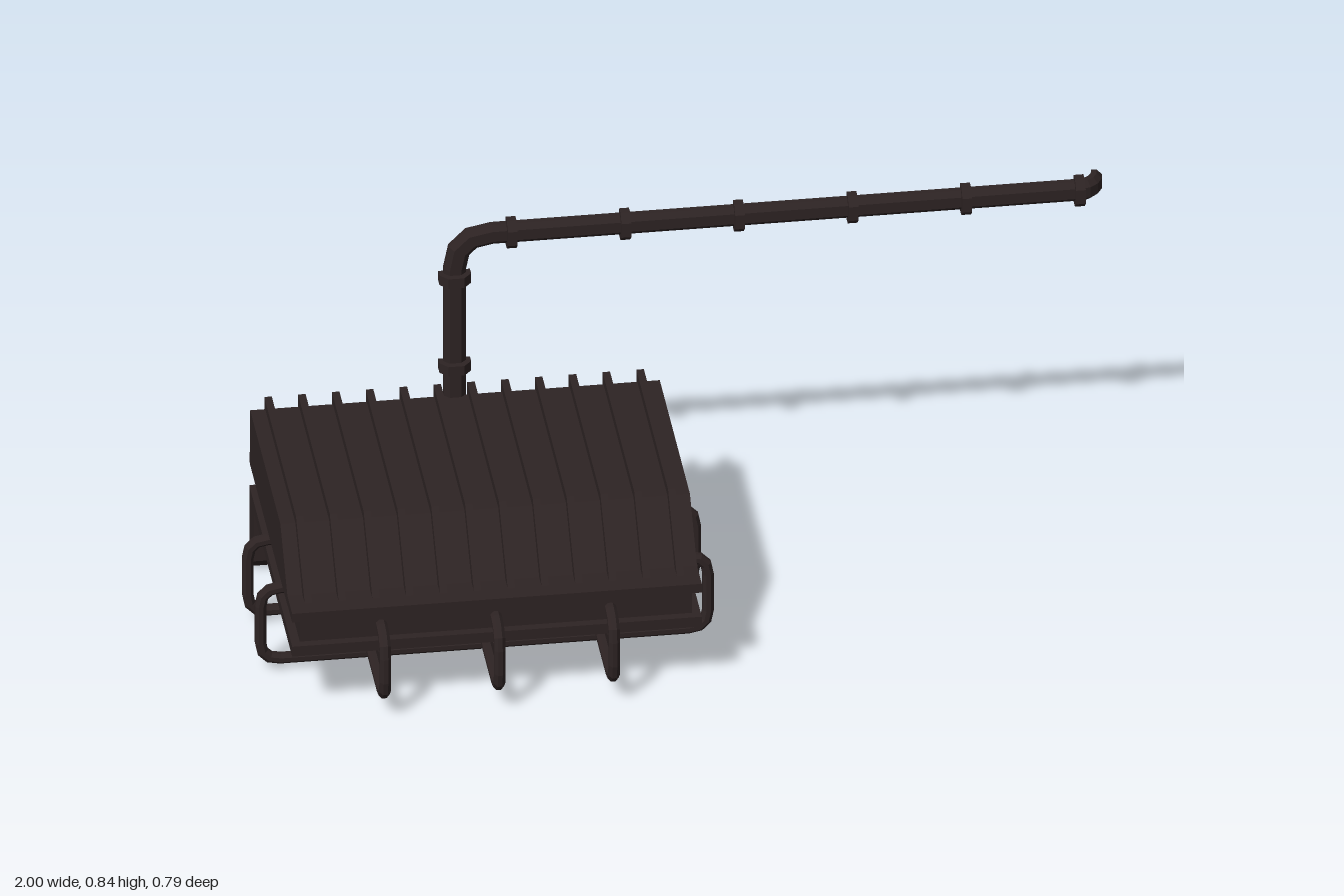
import * as THREE from 'three';

const CX = -0.48;      // centre of the lamp body in x
const WALL = -0.36;    // plane of the flat back

const V = (x, y, z) => new THREE.Vector3(x, y, z);

// Polyline with its inner corners rounded in three short steps
function roundedPath(points, r) {
  const out = [points[0]];
  for (let i = 1; i < points.length - 1; i++) {
    const p = points[i];
    const a = p.clone().add(points[i - 1].clone().sub(p).setLength(r));
    const b = p.clone().add(points[i + 1].clone().sub(p).setLength(r));
    out.push(...new THREE.QuadraticBezierCurve3(a, p, b).getPoints(3));
  }
  out.push(points[points.length - 1]);
  return out;
}

// Sweep a section [along normal, sideways] along a flat path, with mitred joints and end caps
function sweep(path, normal, section) {
  const n = section.length, last = path.length - 1, pos = [], index = [];
  path.forEach((p, i) => {
    const t0 = path[i].clone().sub(path[Math.max(i - 1, 0)]).normalize();
    const t1 = path[Math.min(i + 1, last)].clone().sub(p).normalize();
    const t = t0.clone().add(t1).normalize();
    const mitre = 1 / t.dot(i < last ? t1 : t0);
    const side = normal.clone().cross(t).multiplyScalar(mitre);
    for (const [a, b] of section) {
      const q = p.clone().addScaledVector(normal, a).addScaledVector(side, b);
      pos.push(q.x, q.y, q.z);
    }
  });
  for (let i = 0; i < last; i++) {
    for (let j = 0; j < n; j++) {
      const a = i * n + j, b = i * n + (j + 1) % n;
      index.push(a, a + n, b, b, a + n, b + n);
    }
  }
  for (let j = 1; j < n - 1; j++) {
    index.push(0, j, j + 1, last * n, last * n + j + 1, last * n + j);
  }
  const g = new THREE.BufferGeometry();
  g.setAttribute('position', new THREE.Float32BufferAttribute(pos, 3));
  g.setIndex(index);
  const flat = g.toNonIndexed();
  flat.computeVertexNormals();
  return flat;
}

// Extrude a (z, y) profile across x
function slab(profile, width, x = CX) {
  const shape = new THREE.Shape(profile.map(([z, y]) => new THREE.Vector2(z, y)));
  const g = new THREE.ExtrudeGeometry(shape, { depth: width, bevelEnabled: false });
  return g.rotateY(-Math.PI / 2).translate(x + width / 2, 0, 0);
}

function boxBetween(x0, x1, y0, y1, z0, z1) {
  return new THREE.BoxGeometry(x1 - x0, y1 - y0, z1 - z0)
    .translate((x0 + x1) / 2, (y0 + y1) / 2, (z0 + z1) / 2);
}

function roundedRect(w, h, r) {
  const s = new THREE.Shape(), x = w / 2, y = h / 2;
  s.absarc(x - r, y - r, r, 0, Math.PI / 2);
  s.absarc(r - x, y - r, r, Math.PI / 2, Math.PI);
  s.absarc(r - x, r - y, r, Math.PI, Math.PI * 1.5);
  s.absarc(x - r, r - y, r, Math.PI * 1.5, Math.PI * 2);
  return s;
}

export function createModel() {
  const model = new THREE.Group();
  model.name = 'wallFloodlight';
  const metal = new THREE.MeshStandardMaterial({ color: 0x2d2323, flatShading: true });
  metal.name = 'darkBrownMetal';
  const add = (name, geometry, parent = model) => {
    const mesh = new THREE.Mesh(geometry, metal);
    mesh.name = name;
    parent.add(mesh);
    return mesh;
  };
  const group = (name) => {
    const g = new THREE.Group();
    g.name = name;
    model.add(g);
    return g;
  };

  // Housing: sloped hood, rims and the recessed band between them
  add('hood', slab([[0.26, 0.245], [0.26, 0.27], [0.145, 0.39], [-0.345, 0.39], [-0.345, 0.245]], 0.93));
  add('upperRim', boxBetween(-0.945, -0.015, 0.247, 0.27, WALL, 0.338));
  add('band', boxBetween(-0.925, -0.035, 0.17, 0.25, -0.345, 0.318));
  add('lowerRim', boxBetween(-0.945, -0.015, 0.157, 0.183, WALL, 0.338));
  add('backBracket', slab([[-0.285, 0.16], [WALL, 0.16], [WALL, 0], [-0.31, 0], [-0.285, 0.027]], 0.93));

  // Cooling fins running up the slope, over the top and down the back
  const fins = group('coolingFins');
  const finProfile = [[0.30, 0.268], [0.155, 0.413], [WALL, 0.413], [WALL, 0.25],
    [-0.335, 0.25], [-0.335, 0.38], [0.135, 0.38], [0.24, 0.268]];
  for (let i = 0; i < 12; i++) add('fin', slab(finProfile, 0.017, CX + (i - 5.5) * 0.0768), fins);

  // Lens and its seat under the housing
  add('lensSeat', new THREE.ExtrudeGeometry(roundedRect(0.84, 0.515, 0.06),
    { depth: 0.014, bevelEnabled: false, curveSegments: 3 })
    .rotateX(-Math.PI / 2).translate(CX, 0.145, 0.0275));
  add('lens', new THREE.ExtrudeGeometry(roundedRect(0.69, 0.385, 0.05),
    { depth: 0.03, bevelThickness: 0.038, bevelSize: 0.04, bevelSegments: 3, curveSegments: 4 })
    .rotateX(-Math.PI / 2).translate(CX, 0.133, 0.0275));

  // Bolts on the bracket
  const bolts = group('bracketBolts');
  for (const dx of [-0.385, -0.13, 0.13, 0.385]) {
    add('bolt', new THREE.CylinderGeometry(0.027, 0.027, 0.03, 8)
      .rotateX(Math.PI / 2).translate(CX + dx, 0.092, -0.278), bolts);
  }

  // Wire guard: three bars running back, two running across
  const octagon = (r) => Array.from({ length: 8 }, (_, i) => {
    const a = (i + 0.5) * Math.PI / 4, k = r / Math.cos(Math.PI / 8);
    return [k * Math.cos(a), k * Math.sin(a)];
  });
  const bar = octagon(0.0125);
  const guard = group('wireGuard');
  for (const dx of [-0.26, 0, 0.26]) {
    const x = CX + dx;
    const path = roundedPath([V(x, 0.213, 0.30), V(x, 0.213, 0.383), V(x, 0.053, 0.383), V(x, 0.053, -0.29)], 0.05);
    add('lengthBar', sweep(path, V(1, 0, 0), bar), guard);
  }
  for (const z of [0.13, -0.077]) {
    const l = CX - 0.508, r = CX + 0.508;
    const path = roundedPath([V(-0.91, 0.213, z), V(l, 0.213, z), V(l, 0.027, z),
      V(r, 0.027, z), V(r, 0.213, z), V(-0.05, 0.213, z)], 0.045);
    add('crossBar', sweep(path, V(0, 0, 1), bar), guard);
  }

  // Conduit: half pipe lying on the wall plane, up from the hood then sideways
  const half = (r, c) => [[0, -r], [r - c, -r], [r, c - r], [r, r - c], [r - c, r], [0, r]];
  const pipe = half(0.025, 0.012);
  const conduit = group('conduit');
  const py = 0.807;
  add('pipe', sweep(roundedPath([V(CX, 0.25, WALL), V(CX, py, WALL), V(0.94, py, WALL)], 0.085), V(0, 0, 1), pipe), conduit);

  // End of the conduit turning back into the wall
  const turn = Array.from({ length: 5 }, (_, i) => {
    const a = i * Math.PI / 8;
    return V(0.94 + 0.031 * Math.sin(a), py, -0.395 + 0.035 * Math.cos(a));
  });
  add('pipeEnd', sweep(turn, V(0, 1, 0), pipe.map(([a, b]) => [b, -a])), conduit);

  // Clamps around the conduit
  const clamp = half(0.036, 0.018).map(([a, b]) => [a * 1.1, b]);
  for (const y of [0.468, 0.70]) {
    add('clamp', sweep([V(CX, y - 0.0125, WALL), V(CX, y + 0.0125, WALL)], V(0, 0, 1), clamp), conduit);
  }
  for (let i = 0; i < 6; i++) {
    const x = -0.352 + i * 0.258;
    add('clamp', sweep([V(x - 0.011, py, WALL), V(x + 0.011, py, WALL)], V(0, 0, 1), clamp), conduit);
  }
  return model;
}
